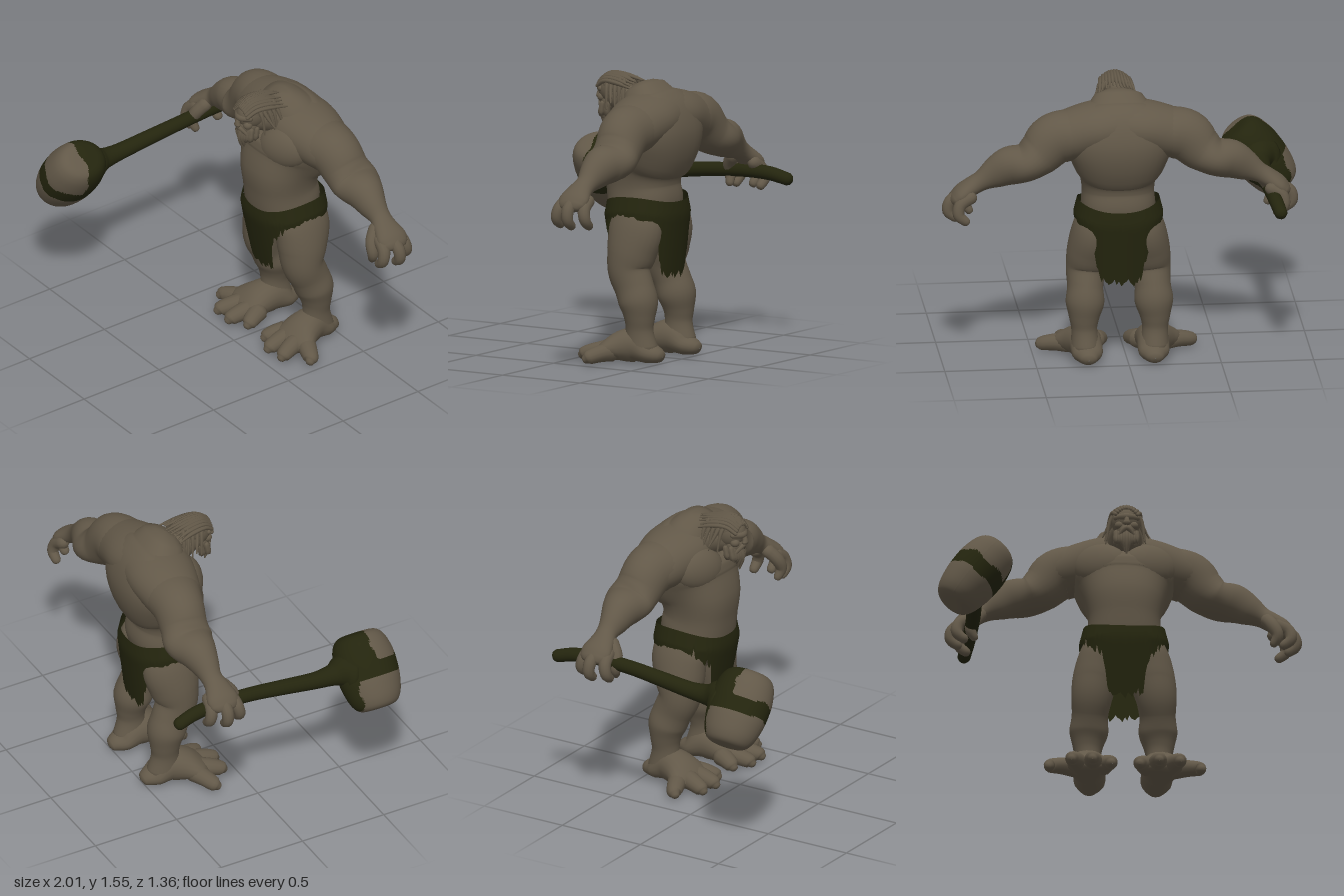
import * as THREE from 'three';

const skin = new THREE.MeshStandardMaterial({ color: 0x625848 });
skin.name = 'grey brown skin';
const hide = new THREE.MeshStandardMaterial({ color: 0x24250e, side: THREE.DoubleSide });
hide.name = 'dark olive hide';

const X = new THREE.Vector3(1, 0, 0);
const Y = new THREE.Vector3(0, 1, 0);
const Z = new THREE.Vector3(0, 0, 1);
const hash = (n) => { const s = Math.sin(n * 127.1 + 3.7) * 43758.5453; return s - Math.floor(s); };

function mesh(parent, name, geometry, material = skin) {
  const m = new THREE.Mesh(geometry, material);
  m.name = name;
  parent.add(m);
  return m;
}

// Smooth round-ended body through sections [x, y, z, radius along ref, radius across]
function loft(sections, { ref = Z, seg = 20, steps = 5, power = 2 } = {}) {
  const spine = new THREE.CatmullRomCurve3(sections.map((s) => new THREE.Vector3(s[0], s[1], s[2])));
  const size = new THREE.CatmullRomCurve3(sections.map((s, i) => new THREE.Vector3(s[3], s[4] ?? s[3], i * 0.05)));
  const n = (sections.length - 1) * steps;
  const rings = [];
  const caps = [0.05, 0.4, 0.75];
  const add = (t, scale, push) => rings.push({ t, scale, push });
  caps.forEach((c) => add(0, c, -Math.sqrt(1 - c * c)));
  for (let i = 0; i <= n; i++) add(i / n, 1, 0);
  [...caps].reverse().forEach((c) => add(1, c, Math.sqrt(1 - c * c)));

  const pos = [], index = [];
  const bend = (v) => Math.sign(v) * Math.abs(v) ** (2 / power);
  rings.forEach(({ t, scale, push }, i) => {
    const T = spine.getTangent(t);
    const V = ref.clone().addScaledVector(T, -ref.dot(T)).normalize();
    const U = V.clone().cross(T);
    const r = size.getPoint(t);
    const c = spine.getPoint(t).addScaledVector(T, push * Math.min(r.x, r.y) * 0.75);
    for (let j = 0; j < seg; j++) {
      const a = (j / seg) * Math.PI * 2;
      const p = c.clone().addScaledVector(U, bend(Math.cos(a)) * r.y * scale)
        .addScaledVector(V, bend(Math.sin(a)) * r.x * scale);
      pos.push(p.x, p.y, p.z);
      if (i < rings.length - 1) {
        const k = (j + 1) % seg, a0 = i * seg, b0 = a0 + seg;
        index.push(a0 + j, a0 + k, b0 + j, a0 + k, b0 + k, b0 + j);
      }
    }
  });
  const g = new THREE.BufferGeometry();
  g.setAttribute('position', new THREE.Float32BufferAttribute(pos, 3));
  g.setIndex(index);
  g.computeVertexNormals();
  return g;
}

const flip = (sections, s) => sections.map(([x, ...rest]) => [x * s, ...rest]);

function ball(parent, name, x, y, z, rx, ry, rz) {
  const m = mesh(parent, name, new THREE.SphereGeometry(1, 24, 16));
  m.position.set(x, y, z);
  m.scale.set(rx, ry, rz);
  return m;
}

function buildTorso(body) {
  mesh(body, 'torso', loft([
    [0, 0.74, -0.31, 0.15, 0.17], [0, 0.85, -0.295, 0.19, 0.2], [0, 0.95, -0.28, 0.19, 0.195],
    [0, 1.05, -0.285, 0.21, 0.215], [0, 1.15, -0.325, 0.23, 0.265], [0, 1.25, -0.345, 0.23, 0.3],
    [0, 1.33, -0.342, 0.205, 0.29], [0, 1.39, -0.325, 0.165, 0.235], [0, 1.425, -0.31, 0.122, 0.17],
  ], { seg: 40, power: 2.35 }));
  // Broad hunched shoulders
  const half = [[0.38, 1.26, -0.39, 0.13, 0.11], [0.27, 1.285, -0.375, 0.16, 0.138], [0.13, 1.32, -0.365, 0.19, 0.142]];
  mesh(body, 'shoulders', loft([...flip(half, -1), [0, 1.33, -0.355, 0.19, 0.145], ...half.reverse()], { seg: 32 }));
  for (const s of [-1, 1]) {
    const pec = ball(body, 'chestMuscle', s * 0.135, 1.255, -0.212, 0.155, 0.12, 0.085);
    pec.rotation.set(-0.12, s * 0.42, s * 0.2);
  }
}

function buildLeg(body, s) {
  const leg = new THREE.Group();
  leg.name = s > 0 ? 'leftLeg' : 'rightLeg';
  body.add(leg);
  mesh(leg, 'legAndCalf', loft(flip([
    [0.115, 0.82, -0.32, 0.14, 0.1], [0.14, 0.72, -0.325, 0.16, 0.115], [0.16, 0.6, -0.31, 0.142, 0.12],
    [0.175, 0.5, -0.302, 0.118, 0.11], [0.183, 0.41, -0.34, 0.11, 0.098], [0.187, 0.33, -0.37, 0.107, 0.105],
    [0.192, 0.25, -0.38, 0.085, 0.083], [0.192, 0.18, -0.38, 0.077, 0.07], [0.188, 0.08, -0.385, 0.1, 0.08],
  ], s), { seg: 24 }));
  mesh(leg, 'foot', loft(flip([
    [0.18, 0.05, -0.49, 0.055, 0.042], [0.18, 0.06, -0.44, 0.083, 0.057], [0.185, 0.095, -0.36, 0.09, 0.092],
    [0.2, 0.09, -0.28, 0.11, 0.086], [0.22, 0.065, -0.21, 0.135, 0.06], [0.23, 0.05, -0.18, 0.125, 0.045],
  ], s), { ref: X }));
  const toes = [[0.12, -0.22, 0.08, -0.13], [0.17, -0.2, 0.18, -0.077], [0.25, -0.2, 0.29, -0.087], [0.27, -0.25, 0.405, -0.19]];
  for (const [x0, z0, x1, z1] of toes) {
    mesh(leg, 'toe', loft(flip([
      [x0, 0.064, z0, 0.054], [(x0 + x1) / 2, 0.058, (z0 + z1) / 2, 0.046, 0.05],
      [x1, 0.043, z1, 0.038, 0.04], [x1 + (x1 - x0) * 0.07, 0.035, z1 + 0.012, 0.026],
    ], s), { ref: Y, seg: 14, steps: 3 }));
  }
}

function buildArm(body, s) {
  const arm = new THREE.Group();
  arm.name = s > 0 ? 'leftArm' : 'rightArm';
  body.add(arm);
  mesh(arm, 'armAndPalm', loft(flip([
    [0.16, 1.3, -0.36, 0.14, 0.12], [0.26, 1.29, -0.375, 0.156, 0.135], [0.36, 1.265, -0.388, 0.138, 0.142],
    [0.44, 1.192, -0.4, 0.13, 0.122], [0.51, 1.148, -0.41, 0.14, 0.1], [0.6, 1.13, -0.405, 0.108, 0.105],
    [0.68, 1.09, -0.4, 0.078, 0.085], [0.75, 1.05, -0.4, 0.058, 0.056], [0.8, 1.02, -0.395, 0.07, 0.05],
    [0.86, 0.98, -0.395, 0.09, 0.046], [0.895, 0.95, -0.395, 0.08, 0.036],
  ], s), { seg: 28 }));
  // Three curled fingers and a thumb
  for (const [dx, z, spread] of [[-0.05, -0.455, -0.025], [0, -0.395, -0.005], [-0.03, -0.335, 0.025]]) {
    mesh(arm, 'finger', loft(flip([
      [0.86 + dx, 0.975, z, 0.036], [0.922 + dx, 0.935, z + spread * 0.5, 0.034], [0.932 + dx, 0.88, z + spread, 0.031],
      [0.892 + dx, 0.842, z + spread, 0.025],
    ], s), { seg: 12, steps: 4 }));
  }
  mesh(arm, 'thumb', loft(flip([
    [0.775, 1.01, -0.35, 0.038], [0.805, 0.955, -0.305, 0.036], [0.83, 0.895, -0.295, 0.031], [0.808, 0.848, -0.305, 0.022],
  ], s), { ref: X, seg: 12, steps: 4 }));
}

function buildHead(body) {
  const head = new THREE.Group();
  head.name = 'head';
  body.add(head);
  mesh(head, 'neck', loft([[0, 1.37, -0.28, 0.13, 0.1], [0, 1.4, -0.19, 0.1, 0.09], [0, 1.42, -0.1, 0.07]], { ref: X }));
  ball(head, 'skull', 0, 1.452, -0.095, 0.076, 0.088, 0.095);
  ball(head, 'jaw', 0, 1.385, -0.065, 0.058, 0.055, 0.058);
  ball(head, 'hairCap', 0, 1.475, -0.12, 0.08, 0.068, 0.108);
  mesh(head, 'brow', loft([[-0.058, 1.456, -0.04, 0.016], [0, 1.45, -0.008, 0.02], [0.058, 1.456, -0.04, 0.016]], { seg: 12 }));
  mesh(head, 'nose', loft([[0, 1.45, -0.008, 0.011], [0, 1.425, 0.004, 0.014], [0, 1.407, 0.006, 0.016, 0.022]], { seg: 12 }));
  mesh(head, 'moustache', loft([[-0.045, 1.345, -0.035, 0.011], [0, 1.385, -0.008, 0.014], [0.045, 1.345, -0.035, 0.011]], { seg: 10 }));
  for (const s of [-1, 1]) {
    ball(head, 'cheek', s * 0.038, 1.408, -0.036, 0.026, 0.024, 0.026);
    ball(head, 'eye', s * 0.03, 1.434, -0.024, 0.011, 0.006, 0.009);
  }
  const strand = (name, pts) => mesh(head, name, loft(pts, { ref: X, seg: 6, steps: 4 }));
  // Beard in two layers, longest in the middle
  for (const [layer, back] of [[0, 0], [1, 0.035]]) for (let i = -4; i <= 4; i++) {
    const x = i * 0.0135, d = Math.abs(i) / 4, tip = 1.235 + d * 0.08 + layer * 0.03 + hash(i + 9 + layer * 5) * 0.015;
    strand('beardStrand', [[x, 1.375, -0.03 - d * 0.02 - back, 0.017], [x * 0.95, 1.32, -0.015 - d * 0.025 - back, 0.019],
      [x * 0.65, tip, -0.03 - d * 0.015 - back, 0.005]]);
  }
  // Hair swept back over the crown
  for (let i = -5; i <= 5; i++) {
    const x = i * 0.0145, low = x * x * 7;
    strand('crownStrand', [[x * 0.8, 1.505 - low, -0.018, 0.011], [x, 1.537 - low, -0.07, 0.012],
      [x * 1.15, 1.533 - low, -0.16, 0.013], [x * 1.35, 1.512 - low, -0.225 - hash(i + 20) * 0.045, 0.004]]);
  }
  // Loose locks at the sides
  for (const s of [-1, 1]) for (let i = 0; i < 5; i++) {
    const z = -0.085 - i * 0.027, h = hash(i + s * 7 + 40);
    strand('sideStrand', [[s * 0.055, 1.515, z, 0.012], [s * 0.086, 1.46, z - 0.012, 0.012],
      [s * (0.1 + h * 0.03), 1.35 + h * 0.05, z - 0.02 - h * 0.02, 0.004]]);
  }
}

// Ragged cloth round the hips with long front and back aprons
function buildLoincloth(body) {
  const hem = [[0, 0.46], [0.3, 0.46], [0.39, 0.47], [0.44, 0.6], [0.53, 0.68], [0.8, 0.72], [1.05, 0.77], [1.4, 0.8],
    [1.8, 0.8], [2.2, 0.76], [2.45, 0.69], [2.6, 0.54], [2.7, 0.47], [3.15, 0.46]];
  const hemAt = (a) => {
    const i = Math.max(1, hem.findIndex((h) => h[0] >= a));
    return THREE.MathUtils.mapLinear(a, hem[i - 1][0], hem[i][0], hem[i - 1][1], hem[i][1]);
  };
  const seg = 144, rows = 14;
  const g = new THREE.PlaneGeometry(1, 1, seg, rows);
  const p = g.attributes.position;
  const bend = (v) => Math.sign(v) * Math.abs(v) ** 0.88;
  for (let i = 0; i <= rows; i++) for (let j = 0; j <= seg; j++) {
    const a = ((j % seg) / seg) * Math.PI * 2 - Math.PI, d = Math.abs(a);
    const top = 0.86 + 0.045 * Math.sin(d) ** 2 - 0.013 * Math.cos(d);
    const low = hemAt(d) + (hash(j % seg) - 0.3) * (j % 3 ? 0.025 : 0.08) * (d > 1.1 && d < 2.1 ? 0.25 : 1);
    const y = THREE.MathUtils.lerp(top, low, i / rows);
    const drop = Math.max(0, 0.8 - y), flare = Math.min(0.02, (top - y) * 0.25);
    const rx = 0.222 + flare - drop * 0.05, rz = 0.205 + flare * 0.6 - drop * (d < 1.5 ? 0.2 : 0.12);
    p.setXYZ(i * (seg + 1) + j, bend(Math.sin(a)) * rx, y, -0.305 + bend(Math.cos(a)) * rz);
  }
  g.computeVertexNormals();
  mesh(body, 'loincloth', g, hide);
}

function buildClub(root) {
  const club = new THREE.Group();
  club.name = 'club';
  root.add(club);
  mesh(club, 'clubShaft', loft([
    [-0.808, 0.893, -0.655, 0.035], [-0.795, 0.918, -0.55, 0.038], [-0.785, 0.925, -0.4, 0.038],
    [-0.78, 0.915, -0.2, 0.039], [-0.785, 0.895, 0, 0.042], [-0.79, 0.874, 0.2, 0.047],
    [-0.787, 0.872, 0.3, 0.06], [-0.785, 0.875, 0.36, 0.095], [-0.795, 0.865, 0.41, 0.12],
  ], { ref: X }), hide);

  // Rounded block, wrapped by a hide band and a patch around the shaft
  const profile = new THREE.SplineCurve([[0.001, -0.215], [0.08, -0.208], [0.118, -0.165], [0.14, -0.08], [0.147, 0],
    [0.145, 0.08], [0.125, 0.165], [0.085, 0.208], [0.001, 0.215]].map(([x, y]) => new THREE.Vector2(x, y))).getPoints(60);
  const g = new THREE.LatheGeometry(profile, 72).scale(1, 1, 1.18);
  g.computeVertexNormals();
  const p = g.attributes.position, sets = [[], []];
  for (let i = 0; i < g.index.count; i += 3) {
    const tri = [0, 1, 2].map((k) => g.index.getX(i + k));
    const mid = (f) => tri.reduce((sum, v) => sum + f(v), 0) / 3;
    const x = mid((v) => p.getX(v)), y = mid((v) => p.getY(v)), z = mid((v) => p.getZ(v));
    const wave = 0.008 * Math.sin(x * 40) + 0.006 * Math.sin(y * 55 + 1);
    const dark = Math.abs(y - 0.003 + wave) < 0.044 || z + wave < (y > 0 ? 0.015 : -0.11);
    sets[dark ? 1 : 0].push(...tri);
  }
  g.setIndex([...sets[0], ...sets[1]]);
  g.addGroup(0, sets[0].length, 0);
  g.addGroup(sets[0].length, sets[1].length, 1);
  const block = mesh(club, 'clubHead', g, [skin, hide]);
  block.position.set(-0.806, 0.842, 0.505);
  block.rotation.z = -0.66;
}

export function createModel() {
  const root = new THREE.Group();
  root.name = 'giantWithClub';
  const body = new THREE.Group();
  body.name = 'body';
  body.position.x = 0.04;
  root.add(body);
  buildTorso(body);
  for (const s of [-1, 1]) {
    buildLeg(body, s);
    buildArm(body, s);
  }
  buildHead(body);
  buildLoincloth(body);
  buildClub(root);
  return root;
}
